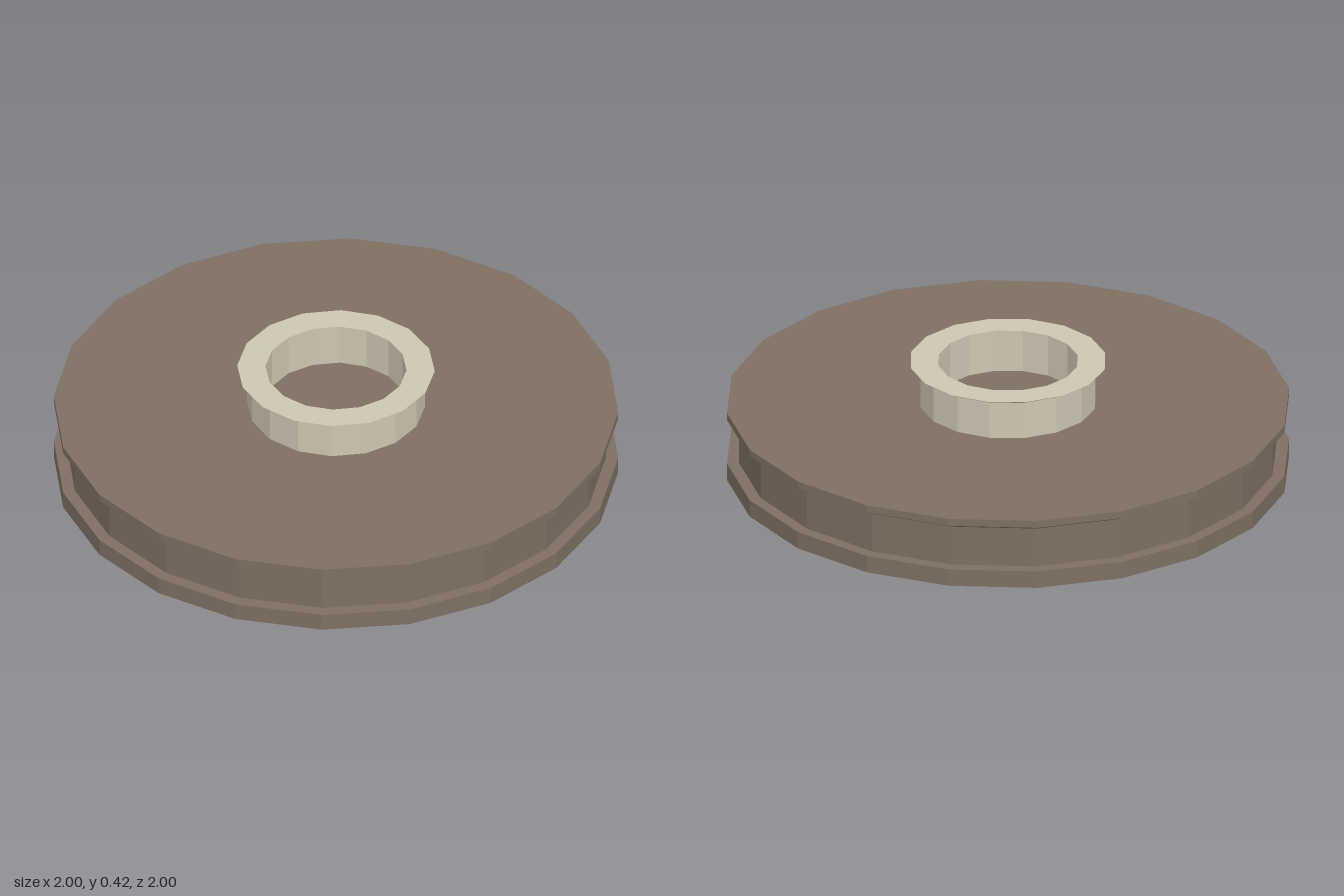
import * as THREE from 'three';

const brown = new THREE.MeshStandardMaterial({ color: 0x7e7062 });
brown.name = 'brown';
const cream = new THREE.MeshStandardMaterial({ color: 0xcec6b2 });
cream.name = 'cream';

// Faceted lathe; profile of [radius, y] pairs runs upward on the outside
function turned(name, profile, sides, material) {
  const points = profile.map(([r, y]) => new THREE.Vector2(r, y));
  const geometry = new THREE.LatheGeometry(points, sides).toNonIndexed();
  geometry.computeVertexNormals();
  const mesh = new THREE.Mesh(geometry, material);
  mesh.name = name;
  return mesh;
}

export function createModel() {
  const group = new THREE.Group();
  group.name = 'flangedDisc';

  // Wide disc with a recessed waist, square lower rim and bevelled upper rim
  group.add(turned('disc', [
    [0, 0], [1, 0], [1, 0.064], [0.957, 0.064],
    [0.957, 0.212], [1, 0.235], [1, 0.262], [0, 0.262],
  ], 20, brown));

  // Hollow collar with a flared lip, open down to the disc
  group.add(turned('collar', [
    [0.315, 0.262], [0.315, 0.4], [0.35, 0.419], [0.25, 0.419], [0.25, 0.262],
  ], 16, cream));

  return group;
}
